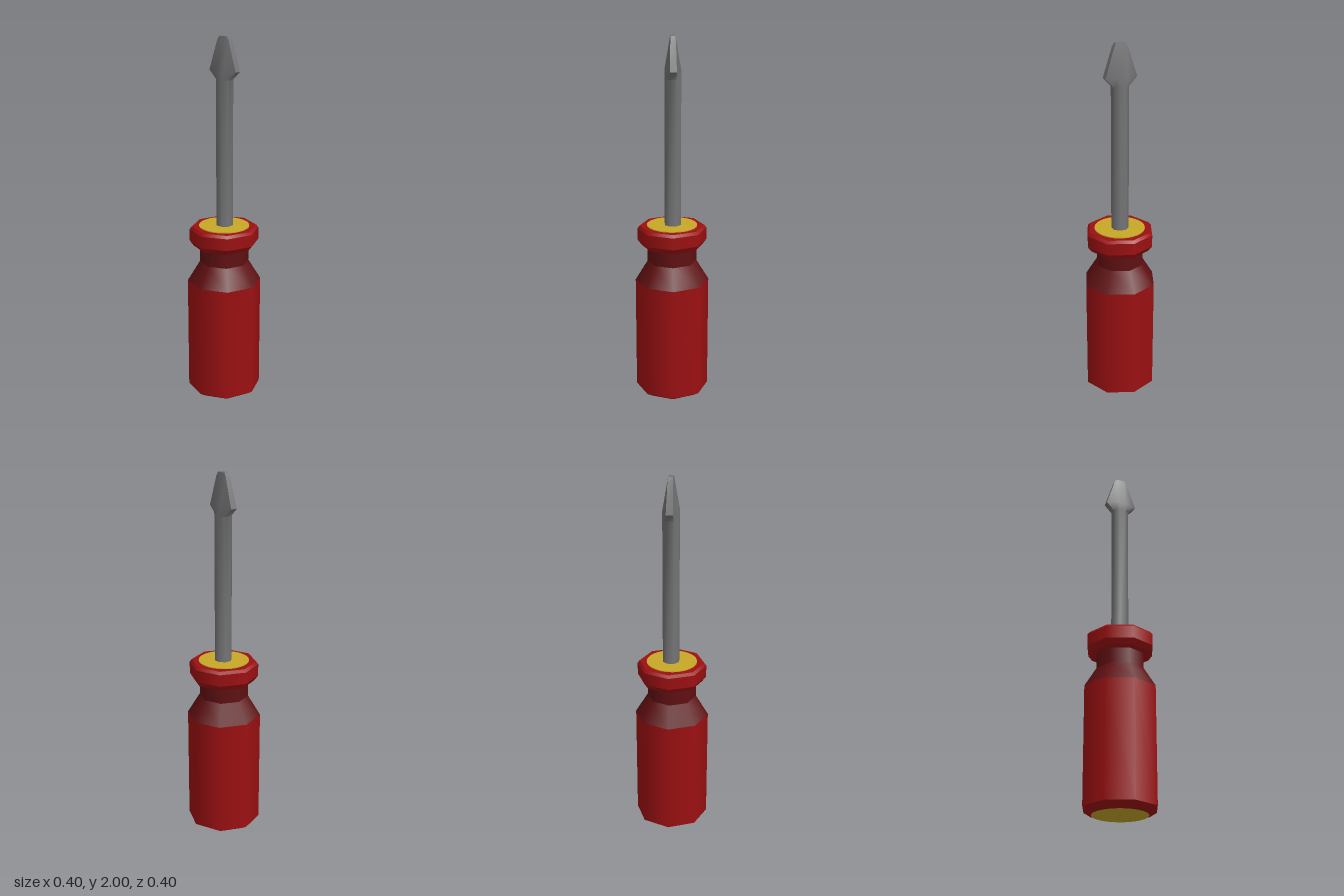
import * as THREE from 'three';
import { mergeGeometries, toCreasedNormals } from 'three/addons/utils/BufferGeometryUtils.js';

const material = (name, color) => {
  const m = new THREE.MeshStandardMaterial({ color });
  m.name = name;
  return m;
};

// Lathe each profile step separately: smooth around, sharp between the steps
function turned(profile, sides) {
  const p = profile.map(([r, y]) => new THREE.Vector2(r, y));
  return mergeGeometries(p.slice(1).map((q, i) => new THREE.LatheGeometry([p[i], q], sides)));
}

// Loft of flattened octagons, each given as [y, side x, side z, face x, face z]
function octagonLoft(sections) {
  const pos = [], index = [], n = 8;
  for (const [y, sx, sz, fx, fz] of sections) {
    const ring = [[sx, sz], [sx, -sz], [fx, -fz], [-fx, -fz], [-sx, -sz], [-sx, sz], [-fx, fz], [fx, fz]];
    for (const [x, z] of ring) pos.push(x, y, z);
  }
  for (let i = 0; i < sections.length - 1; i++) {
    for (let j = 0; j < n; j++) {
      const a = i * n + j, b = i * n + (j + 1) % n;
      index.push(a, b, b + n, a, b + n, a + n);
    }
  }
  const top = (sections.length - 1) * n;
  for (let j = 1; j < n - 1; j++) index.push(top, top + j, top + j + 1);
  const g = new THREE.BufferGeometry();
  g.setAttribute('position', new THREE.Float32BufferAttribute(pos, 3));
  g.setIndex(index);
  return toCreasedNormals(g, 0.85);
}

export function createModel() {
  const red = material('handle red', 0x9c1012);
  const darkRed = material('neck dark red', 0x601012);
  const yellow = material('end yellow', 0xc8a828);
  const steel = material('steel grey', 0x757577);

  const group = new THREE.Group();
  group.name = 'screwdriver';
  const add = (name, geometry, mat) => {
    const mesh = new THREE.Mesh(geometry, mat);
    mesh.name = name;
    group.add(mesh);
    return mesh;
  };

  // Octagonal handle
  add('grip', turned([[0, 0.007], [0.16, 0.025], [0.2, 0.05], [0.2, 0.68]], 8), red);
  add('neck', turned([[0.2, 0.68], [0.133, 0.79], [0.133, 0.875]], 8), darkRed);
  add('collar', turned([[0.133, 0.875], [0.165, 0.88], [0.187, 0.91], [0.187, 0.975], [0.175, 0.99], [0, 0.992]], 8), red);

  // Round yellow ends
  add('bottomDisc', turned([[0, 0], [0.145, 0.019]], 40), yellow);
  add('topDisc', turned([[0.136, 0.99], [0.136, 0.995], [0, 0.996]], 40), yellow);

  // Shaft flaring into a flat tapered tip
  const blade = add('shaftAndTip', octagonLoft([
    [0.98, 0.043, 0.018, 0.018, 0.043],
    [1.78, 0.043, 0.018, 0.018, 0.043],
    [1.825, 0.087, 0.018, 0.024, 0.043],
    [1.98, 0.038, 0.014, 0.022, 0.016],
    [2.0, 0.026, 0.012, 0.02, 0.013],
  ]), steel);
  blade.position.z = -0.004;

  return group;
}
